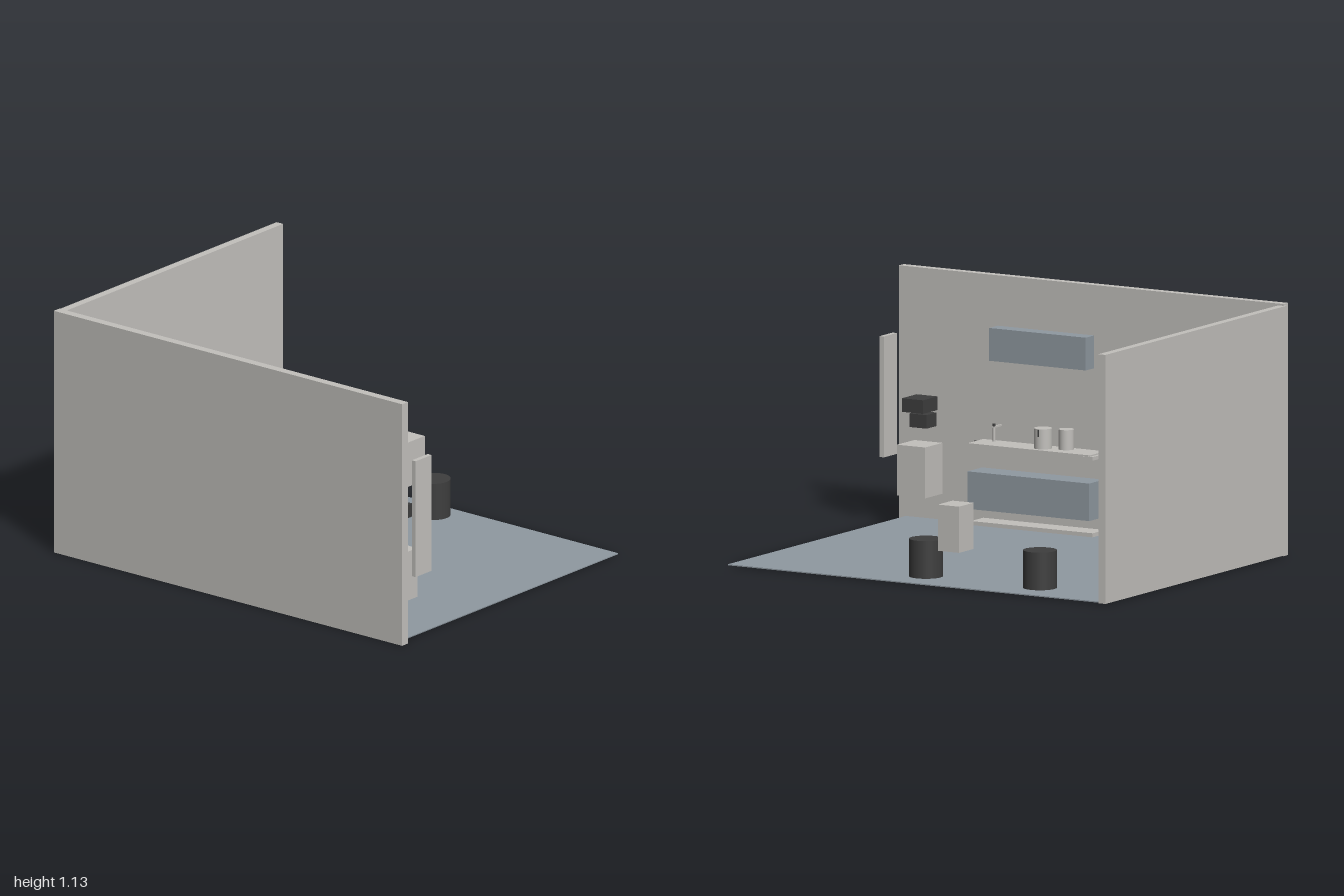
import * as THREE from 'three';

const mat = (name, color) => {
  const m = new THREE.MeshStandardMaterial({ color });
  m.name = name;
  return m;
};

export function createModel() {
  const room = new THREE.Group();
  room.name = 'kitchenRoom';

  const plaster = mat('plaster', 0xc2c0bc);
  const slate = mat('slateBlue', 0x8f99a1);
  const glass = mat('glassBlue', 0xa9bbc9);
  const black = mat('charcoal', 0x3e3e3e);
  const yellow = mat('yellow', 0xcbac40);

  const add = (name, geometry, material, x, y, z) => {
    const mesh = new THREE.Mesh(geometry, material);
    mesh.name = name;
    mesh.position.set(x, y, z);
    room.add(mesh);
    return mesh;
  };
  // Box given by its extents along each axis
  const box = (name, material, [x0, x1], [y0, y1], [z0, z1]) =>
    add(name, new THREE.BoxGeometry(x1 - x0, y1 - y0, z1 - z0), material,
      (x0 + x1) / 2, (y0 + y1) / 2, (z0 + z1) / 2);
  // Upright cylinder standing between two heights
  const drum = (name, material, r, x, z, y0, y1) =>
    add(name, new THREE.CylinderGeometry(r, r, y1 - y0, 32), material, x, (y0 + y1) / 2, z);

  // Shell of the room
  box('floor', slate, [-0.75, 0.765], [0.005, 0.01], [-0.97, 0.965]);
  box('leftWall', plaster, [-0.785, -0.745], [0, 1.13], [-0.99, 1.0]);
  box('backWall', plaster, [-0.765, 0.782], [0.006, 1.122], [-1.0, -0.963]);

  // Kitchen run along the left wall
  box('tallCabinet', plaster, [-0.73, -0.59], [0.02, 0.807], [-0.315, -0.165]);
  box('tallCabinetHandle', black, [-0.598, -0.588], [0.728, 0.736], [-0.165, -0.143]);
  box('upperCabinet', slate, [-0.705, -0.633], [0.765, 0.912], [-0.035, 0.465]);
  box('baseCabinet', slate, [-0.68, -0.555], [0.107, 0.275], [-0.1, 0.53]);
  box('plinth', plaster, [-0.69, -0.585], [0.03, 0.048], [-0.1, 0.53]);
  box('counterTop', plaster, [-0.685, -0.553], [0.396, 0.402], [-0.105, 0.527]);
  box('sinkBase', plaster, [-0.65, -0.6], [0.386, 0.396], [0.34, 0.39]);
  box('counterBracket', plaster, [-0.68, -0.6], [0.37, 0.386], [-0.09, -0.02]);
  box('wallRail', black, [-0.746, -0.74], [0.37, 0.38], [0.495, 0.608]);

  // Pots on the counter
  drum('largePot', plaster, 0.04, -0.615, 0.175, 0.402, 0.492);
  box('potHandle', black, [-0.577, -0.571], [0.457, 0.489], [0.172, 0.178]);
  drum('smallPot', plaster, 0.034, -0.643, 0.072, 0.402, 0.492);

  // Tap
  drum('tapPost', plaster, 0.006, -0.65, 0.45, 0.402, 0.465);
  box('tapSpout', plaster, [-0.71, -0.645], [0.463, 0.471], [0.446, 0.454]);
  drum('tapKnob', black, 0.006, -0.65, 0.45, 0.471, 0.482);

  // Appliances and panel by the open end
  box('lowCabinet', plaster, [-0.685, -0.538], [0.138, 0.366], [0.738, 0.884]);
  box('upperAppliance', black, [-0.675, -0.55], [0.513, 0.574], [0.757, 0.866]);
  box('lowerAppliance', black, [-0.66, -0.578], [0.443, 0.504], [0.755, 0.843]);
  box('endPanel', plaster, [-0.688, -0.578], [0.295, 0.837], [0.976, 0.998]);

  // Window with separate surround bars
  box('windowPane', glass, [-0.408, -0.075], [0.378, 0.585], [-0.953, -0.946]);
  for (const y of [0.256, 0.706])
    box('windowRail', plaster, [-0.42, -0.063], [y - 0.006, y + 0.006], [-0.956, -0.944]);
  for (const x of [-0.596, 0.11])
    box('windowSidePost', plaster, [x - 0.006, x + 0.006], [0.366, 0.597], [-0.956, -0.944]);

  // Shelf and box under the window
  box('shelf', slate, [-0.43, -0.053], [0.269, 0.279], [-0.906, -0.802]);
  box('shelfBackStrip', slate, [-0.43, -0.053], [0.269, 0.277], [-0.942, -0.934]);
  box('radiator', plaster, [-0.386, -0.095], [0.102, 0.195], [-0.892, -0.867]);
  box('yellowBin', yellow, [-0.44, -0.378], [0.063, 0.145], [-0.792, -0.752]);

  // Free-standing seats and table on the right side
  for (const z of [-0.568, 0.022])
    drum('stool', black, 0.075, 0.63, z, 0.02, 0.189);
  box('sideTable', plaster, [0.553, 0.677], [0.148, 0.355], [-0.178, -0.068]);

  return room;
}
